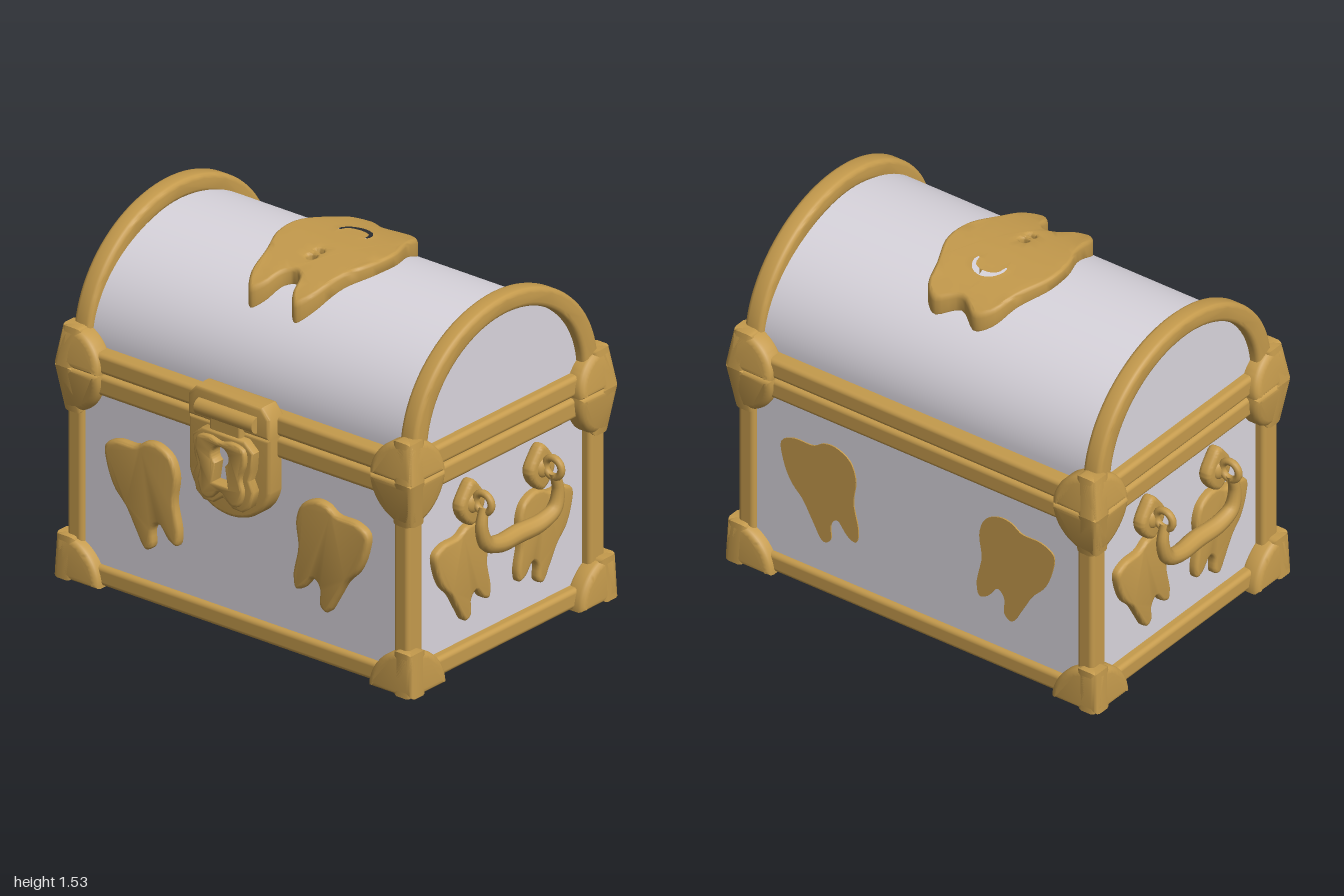
import * as THREE from 'three';
import { toCreasedNormals } from 'three/addons/utils/BufferGeometryUtils.js';
import { RoundedBoxGeometry } from 'three/addons/geometries/RoundedBoxGeometry.js';

const material = (name, color) => Object.assign(new THREE.MeshStandardMaterial({ color }), { name });

// Closed smooth outline through [x, y] points
function outline(points, Type = THREE.Shape, steps = 72) {
  const curve = new THREE.CatmullRomCurve3(points.map(([x, y]) => new THREE.Vector3(x, y, 0)), true);
  return new Type(curve.getPoints(steps).slice(0, -1).map((p) => new THREE.Vector2(p.x, p.y)));
}

// Adds the mirrored half of a point list that runs from x = 0 to x = 0
const mirrored = (half) => [...half, ...half.slice(1, -1).reverse().map(([x, ...r]) => [-x, ...r])];

// Plate with rounded rims, from z = 0 to z = depth
function plate(shape, depth, bevel) {
  const g = new THREE.ExtrudeGeometry(shape, {
    depth: depth - 2 * bevel, bevelEnabled: bevel > 0, bevelThickness: bevel, bevelSize: bevel,
    bevelOffset: -bevel, bevelSegments: 3, curveSegments: 24,
  });
  return g.translate(0, 0, bevel);
}
const smooth = (g, angle = 0.8) => toCreasedNormals(g, angle);

// Splits long edges so that a flat plate can be bent
function subdivide(geometry, maxEdge) {
  const p = geometry.getAttribute('position'), out = [];
  const split = (a, b, c) => {
    const ab = a.distanceTo(b), bc = b.distanceTo(c), ca = c.distanceTo(a), longest = Math.max(ab, bc, ca);
    if (longest < maxEdge) return out.push(...a.toArray(), ...b.toArray(), ...c.toArray());
    if (bc === longest) return split(b, c, a);
    if (ca === longest) return split(c, a, b);
    const m = a.clone().add(b).multiplyScalar(0.5);
    split(a, m, c);
    split(m, b, c);
  };
  const v = (i) => new THREE.Vector3().fromBufferAttribute(p, i);
  for (let i = 0; i < p.count; i += 3) split(v(i), v(i + 1), v(i + 2));
  return new THREE.BufferGeometry().setAttribute('position', new THREE.Float32BufferAttribute(out, 3));
}

// Moves every vertex by a rule
function deform(g, rule) {
  const p = g.getAttribute('position'), v = new THREE.Vector3();
  for (let i = 0; i < p.count; i++) {
    rule(v.fromBufferAttribute(p, i), i);
    p.setXYZ(i, v.x, v.y, v.z);
  }
  return g;
}

// Tooth emblem, centred on its middle
const toothPoints = [[-.19, .162], [-.13, .197], [-.03, .202], [.02, .232], [.08, .237], [.15, .2], [.18, .12],
  [.168, .01], [.193, -.12], [.18, -.178], [.138, -.163], [.088, -.108], [.057, -.138], [.054, -.218],
  [.018, -.238], [-.033, -.163], [-.083, -.078], [-.143, -.013], [-.183, .082]];

// Lid ellipse, shared by the dome and the emblem on it
const LID_Y = 1.02, DOME_A = 0.55, DOME_B = 0.435;

export function createModel() {
  const gold = material('gold', 0xc49a4c);
  const panel = material('pale panel', 0xd9d5dd);
  const base = material('base', 0xb8a68c);
  const model = new THREE.Group();
  model.name = 'chest';
  const chest = new THREE.Group();
  chest.name = 'chestParts';
  chest.position.z = -0.035;
  model.add(chest);

  const add = (name, geometry, mat = gold, pos = [0, 0, 0], parent = chest) => {
    const m = new THREE.Mesh(geometry, mat);
    m.name = name;
    m.position.set(...pos);
    parent.add(m);
    return m;
  };

  // Body and domed lid
  add('body', new THREE.BoxGeometry(1.68, 0.92, 1.18), [panel, panel, panel, base, panel, panel], [0, 0.475, 0]);
  const domeShape = new THREE.Shape();
  domeShape.moveTo(DOME_A, 0.93);
  domeShape.absellipse(0, LID_Y, DOME_A, DOME_B, 0, Math.PI);
  domeShape.lineTo(-DOME_A, 0.93);
  const dome = plate(domeShape, 1.68, 0).translate(0, 0, -0.84).rotateY(Math.PI / 2);
  add('lidDome', smooth(dome, 0.5), panel);

  // Rails round the base, rim and lid
  for (const [name, y, h] of [['baseRail', 0.05, 0.084], ['rimRail', 0.882, 0.09], ['lidRail', 0.977, 0.088]]) {
    for (const s of [-1, 1]) {
      add(name, new RoundedBoxGeometry(1.7, h, 0.1, 3, 0.02), gold, [0, y, s * 0.565]);
      add(name, new RoundedBoxGeometry(0.085, h, 1.16, 3, 0.02), gold, [s * 0.84, y, 0]);
    }
  }

  // Corner cap: two quarter-round plates meeting at the edge
  const capGroup = (w, h, taper) => {
    const s = new THREE.Shape();
    s.moveTo(0, 0);
    s.lineTo(w, 0);
    s.bezierCurveTo(w, h * 0.5, w * 0.6, h, w * 0.15, h);
    s.lineTo(0, h);
    const rule = (v) => { v.x += taper * v.y; v.z += taper * v.y; };
    const front = plate(s, 0.1, 0.025);
    const side = front.clone().rotateY(-Math.PI / 2).translate(0.1, 0, 0);
    // the rotated copy has to be reversed only by position, so its winding stays valid
    return [front, side].map((g) => smooth(deform(g, rule), 0.9));
  };
  const caps = [
    ['baseCorner', capGroup(0.23, 0.19, 0.04), 0, 1],
    ['rimCorner', capGroup(0.225, 0.2, 0.15), 0.93, -1],
    ['lidCorner', capGroup(0.225, 0.17, 0.15), 0.93, 1],
  ];
  for (const sx of [-1, 1]) for (const sz of [-1, 1]) {
    add('cornerPost', new RoundedBoxGeometry(0.08, 0.92, 0.095, 3, 0.02), gold, [sx * 0.843, 0.48, sz * 0.565]);
    for (const [name, parts, y, up] of caps) {
      for (const g of parts) add(name, g, gold, [sx * 0.928, y, sz * 0.648]).scale.set(-sx, up, -sz);
    }
  }

  // Teeth on front (raised) and back (inlaid)
  const toothShape = outline(toothPoints);
  const raisedTooth = smooth(plate(toothShape, 0.05, 0.016));
  const flatTooth = plate(toothShape, 0.008, 0);
  for (const s of [-1, 1]) {
    add('frontTooth', raisedTooth, gold, [s * 0.4875, 0.478, 0.577]).scale.x = -s;
    const back = add('backTooth', flatTooth, gold, [s * 0.4875, 0.478, -0.588]);
    back.rotation.y = Math.PI;
    back.scale.x = s;
  }

  // Arch band, teeth and carrying handle for each end
  const arch = new THREE.Shape();
  arch.moveTo(0.575, 0.95);
  arch.absellipse(0, LID_Y, 0.575, 0.51, 0, Math.PI);
  arch.lineTo(-0.575, 0.95);
  arch.lineTo(-0.485, 0.95);
  arch.absellipse(0, LID_Y, 0.485, 0.43, Math.PI, 0, true);
  arch.lineTo(0.485, 0.95);
  const archBand = smooth(plate(arch, 0.085, 0.02), 0.6);
  const mount = smooth(plate(outline(mirrored([[0, .1], [.045, .06], [.078, 0], [.055, -.06], [0, -.1]])), 0.06, 0.02));
  const half = [[-.217, .7, .945], [-.237, .62, .95], [-.212, .545, .952], [-.13, .512, .948]];
  const grip = new THREE.CatmullRomCurve3([...half, [0, .506, .938], ...half.map(([x, y, z]) => [-x, y, z]).reverse()]
    .map((p) => new THREE.Vector3(...p)));
  const gripGeometry = new THREE.TubeGeometry(grip, 48, 1, 12);
  deform(gripGeometry, (v, i) => {
    const t = Math.floor(i / 13) / 48, c = grip.getPointAt(t);
    v.sub(c).multiplyScalar(0.02 + 0.02 * Math.sin(Math.PI * t)).add(c);
  });
  for (const s of [-1, 1]) {
    const end = new THREE.Group();
    end.name = s > 0 ? 'leftEnd' : 'rightEnd';
    end.rotation.y = s * Math.PI / 2;
    chest.add(end);
    add('lidArch', archBand, gold, [0, 0, 0.8], end);
    add('handleGrip', gripGeometry, gold, [0, 0, 0], end);
    for (const k of [-1, 1]) {
      add('sideTooth', raisedTooth, gold, [k * 0.255, 0.395, 0.826], end).scale.set(-k * 0.89, 0.87, 1);
      add('handleMount', mount, gold, [k * 0.217, 0.705, 0.836], end);
      add('handleBoss', new THREE.SphereGeometry(0.045, 16, 12), gold, [k * 0.217, 0.705, 0.885], end).scale.z = 0.6;
      add('handleRing', new THREE.TorusGeometry(0.041, 0.016, 10, 20), gold, [k * 0.217, 0.72, 0.943], end)
        .rotation.y = Math.PI / 2;
    }
  }

  // Lock: hasp, shield plate, hinge pin and tooth-shaped case with a keyhole
  const polygon = (points) => new THREE.Shape(points.map((p) => new THREE.Vector2(...p)));
  const hasp = polygon([[-.21, .93], [.21, .93], [.21, 1.02], [.17, 1.065], [-.17, 1.065], [-.21, 1.02]]);
  add('hasp', smooth(plate(hasp, 0.1, 0.015)), gold, [0, 0, 0.57]);
  const shield = new THREE.Shape();
  shield.moveTo(0.21, 0.93);
  shield.lineTo(-0.21, 0.93);
  shield.lineTo(-0.21, 0.7);
  shield.bezierCurveTo(-0.19, 0.6, -0.1, 0.54, 0, 0.54);
  shield.bezierCurveTo(0.1, 0.54, 0.19, 0.6, 0.21, 0.7);
  add('lockShield', smooth(plate(shield, 0.09, 0.015)), gold, [0, 0, 0.575]);
  add('haspPin', new THREE.CylinderGeometry(0.035, 0.035, 0.3, 20).rotateZ(Math.PI / 2), gold, [0, 0.985, 0.67]);
  add('haspTongue', new RoundedBoxGeometry(0.16, 0.1, 0.04, 2, 0.012), gold, [0, 0.925, 0.672]);

  const keyhole = new THREE.Path();
  const a = 1.2;
  keyhole.absarc(0, 0.82, 0.042, -Math.PI / 2 + a / 2, 1.5 * Math.PI - a / 2);
  keyhole.lineTo(-0.038, 0.7);
  keyhole.lineTo(0.038, 0.7);
  const outer = polygon(mirrored([[0, .912], [.11, .912], [.157, .87], [.15, .79], [.135, .745], [.157, .7],
    [.14, .63], [.1, .598], [.05, .6], [0, .635]]));
  const inner = outline(mirrored([[0, .885], [.06, .897], [.12, .88], [.128, .82], [.105, .75], [.118, .69],
    [.09, .625], [.05, .625], [0, .665]]));
  for (const s of [outer, inner]) s.holes.push(keyhole);
  add('lockRim', smooth(plate(outer, 0.05, 0.01)), gold, [0, 0, 0.655]);
  add('lockCase', smooth(plate(inner, 0.065, 0.012)), gold, [0, 0, 0.66]);
  add('keyholeBack', new THREE.BoxGeometry(0.1, 0.18, 0.004), panel, [0, 0.78, 0.668]);

  // Tooth emblem bent over the lid, with cut-outs
  const emblem = outline(mirrored([[0, .305], [.1, .355], [.165, .31], [.2, .205], [.255, .065], [.25, -.065],
    [.2, -.195], [.165, -.335], [.115, -.395], [.07, -.355], [.04, -.275], [0, -.25]]), THREE.Shape, 96);
  emblem.holes.push(outline(mirrored([[0, .203], [.06, .18], [.09, .125], [.08, .088], [.055, .09], [.042, .132],
    [0, .145]]), THREE.Path, 40));
  for (const y of [-0.105, -0.15]) emblem.holes.push(new THREE.Path().absarc(0, y, 0.02, 0, Math.PI * 2));
  const emblemGeometry = deform(subdivide(plate(emblem, 0.065, 0.014), 0.06), (v) => {
    const z = -v.y, lift = (v.z - 0.01) * (1 + 4 * z * z);
    v.set(v.x, LID_Y + DOME_B * Math.sqrt(1 - (z / DOME_A) ** 2) + lift, z);
  });
  add('lidEmblem', smooth(emblemGeometry));

  return model;
}
